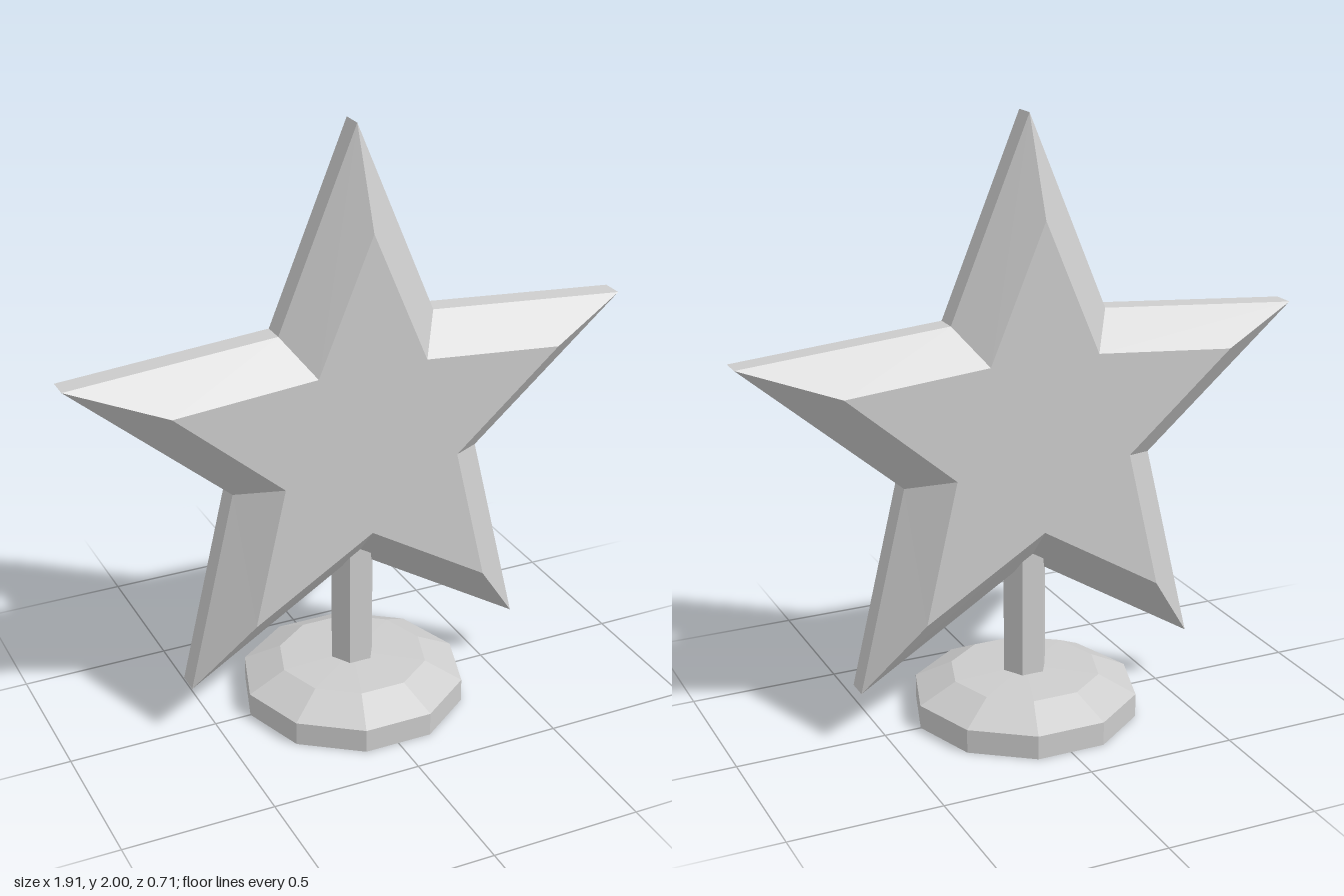
import * as THREE from 'three';

const grey = new THREE.MeshStandardMaterial({ color: 0xcccccc });
grey.name = 'plain grey';
grey.flatShading = true;

const STAR_Y = 0.996;

// Ten-cornered star outline at depth z, counter-clockwise seen from +z
function starRing(outer, inner, z) {
  return Array.from({ length: 10 }, (_, i) => {
    const a = Math.PI / 2 + (i * Math.PI) / 5;
    const r = i % 2 ? inner : outer;
    return [r * Math.cos(a), r * Math.sin(a), z];
  });
}

// Bevelled star: four rings joined by bands and closed by fans
function starGeometry() {
  const rings = [
    starRing(0.694, 0.315, -0.157),
    starRing(1.004, 0.452, -0.037),
    starRing(1.004, 0.452, 0.037),
    starRing(0.694, 0.315, 0.157),
  ];
  const back = [0, 0, -0.157], front = [0, 0, 0.157];
  const pos = [];
  const tri = (a, b, c) => pos.push(...a, ...b, ...c);
  for (let i = 0; i < 10; i++) {
    const j = (i + 1) % 10;
    for (let k = 0; k < 3; k++) {
      const lo = rings[k], hi = rings[k + 1];
      tri(lo[i], lo[j], hi[j]);
      tri(lo[i], hi[j], hi[i]);
    }
    tri(front, rings[3][i], rings[3][j]);
    tri(back, rings[0][j], rings[0][i]);
  }
  const geo = new THREE.BufferGeometry();
  geo.setAttribute('position', new THREE.Float32BufferAttribute(pos, 3));
  geo.computeVertexNormals();
  return geo;
}

export function createModel() {
  const group = new THREE.Group();
  group.name = 'starOnStand';
  const add = (name, geo, y) => {
    const mesh = new THREE.Mesh(geo, grey);
    mesh.name = name;
    mesh.position.y = y;
    group.add(mesh);
    return mesh;
  };

  // Ten-sided foot with a bevelled shoulder and a slightly domed top
  const profile = [[0, 0], [0.375, 0], [0.375, 0.08], [0.25, 0.142], [0, 0.152]]
    .map(([x, y]) => new THREE.Vector2(x, y));
  add('base', new THREE.LatheGeometry(profile, 10, Math.PI / 10), 0);

  // Six-sided post, its top buried in the lower notch of the star
  add('post', new THREE.CylinderGeometry(0.075, 0.075, 0.52, 6, 1, false, Math.PI / 6), 0.38);

  add('star', starGeometry(), STAR_Y);
  return group;
}
